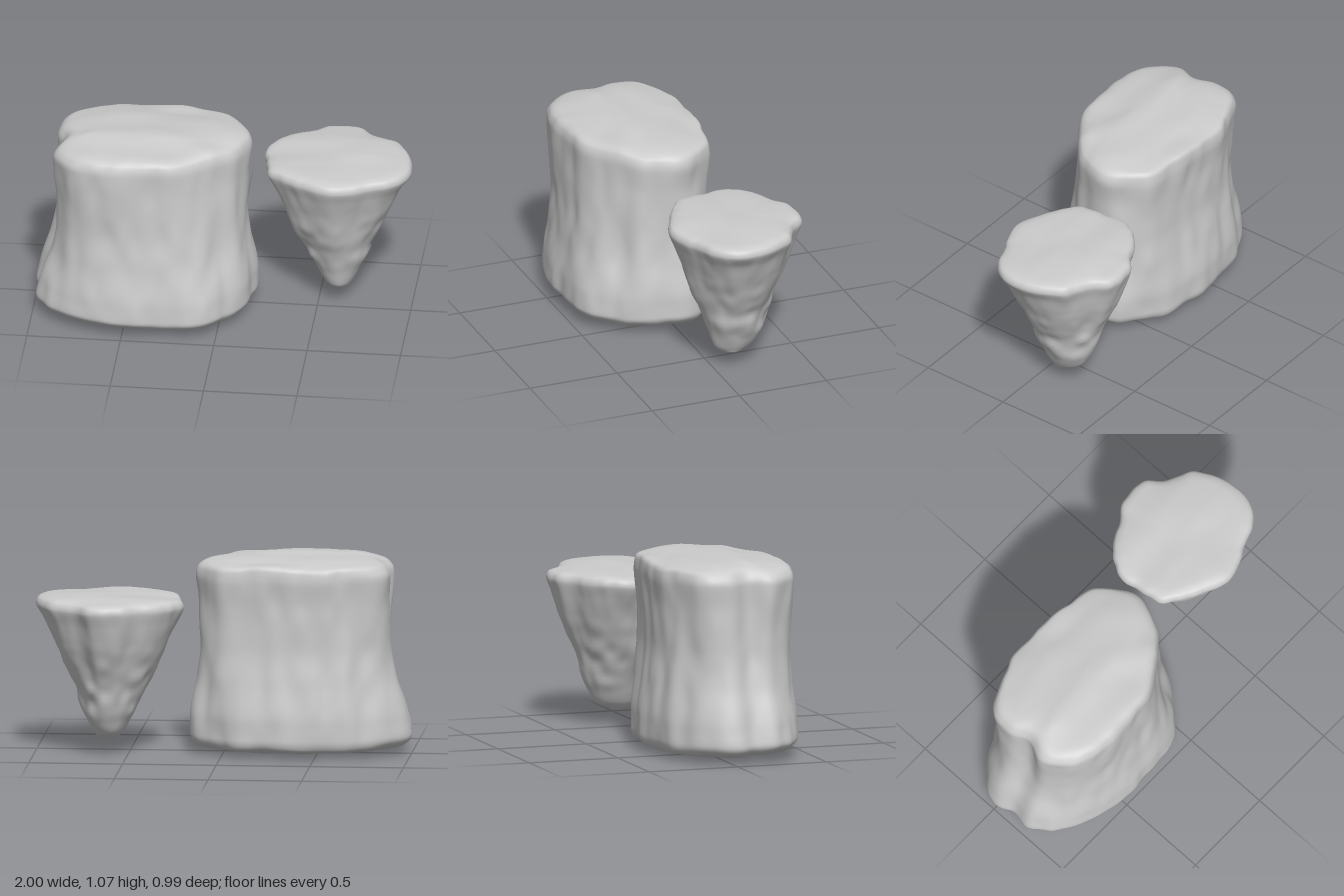
import * as THREE from 'three';

// Seeded smooth value noise in the range -1..1
const hash = (x, y, z) => {
  const s = Math.sin(x * 127.1 + y * 311.7 + z * 74.7) * 43758.5453;
  return (s - Math.floor(s)) * 2 - 1;
};
const ease = t => t * t * (3 - 2 * t);
const mix = THREE.MathUtils.lerp;
function noise(x, y, z) {
  const [i, j, k] = [x, y, z].map(Math.floor);
  const u = ease(x - i), v = ease(y - j), w = ease(z - k);
  const row = (b, c) => mix(hash(i, b, c), hash(i + 1, b, c), u);
  const layer = c => mix(row(j, c), row(j + 1, c), v);
  return mix(layer(k), layer(k + 1), w);
}

// Closed smooth outline, scaled to fill -1..1 in x and z
function unitOutline(points, count) {
  const curve = new THREE.CatmullRomCurve3(
    points.map(([x, z]) => new THREE.Vector3(x, 0, z)), true, 'centripetal');
  const ring = curve.getSpacedPoints(count).slice(0, count);
  const box = new THREE.Box3().setFromPoints(ring);
  const mid = box.getCenter(new THREE.Vector3());
  const half = box.getSize(new THREE.Vector3()).multiplyScalar(0.5);
  return ring.map(p => [(p.x - mid.x) / half.x, (p.z - mid.z) / half.z]);
}

// Smooth row interpolation that never overshoots between neighbours
function sampleRows(rows, t) {
  const last = rows.length - 1;
  const s = Math.min(t * last, last - 1e-6), i = Math.floor(s), f = s - i;
  const at = n => rows[THREE.MathUtils.clamp(n, 0, last)];
  const slope = (a, b) => (a * b <= 0 ? 0 : 2 * a * b / (a + b));
  return rows[0].map((_, n) => {
    const [p0, p1, p2, p3] = [-1, 0, 1, 2].map(o => at(i + o)[n]);
    const d = p2 - p1, m1 = slope(p1 - p0, d), m2 = slope(d, p3 - p2);
    return p1 + f * m1 + f * f * (3 * d - 2 * m1 - m2) + f * f * f * (m1 + m2 - 2 * d);
  });
}

// Loft of rings; each row is [y, xMin, xMax, zMin, zMax]
function rockGeometry({ rows, bottom, top, roughness, count = 160, steps = 104 }) {
  const low = unitOutline(bottom, count), high = unitOutline(top, count);
  const yMax = rows[rows.length - 1][0], pos = [], index = [];
  for (let j = 0; j <= steps; j++) {
    const [y, x0, x1, z0, z1] = sampleRows(rows, j / steps);
    const cx = (x0 + x1) / 2, cz = (z0 + z1) / 2, rx = (x1 - x0) / 2, rz = (z1 - z0) / 2;
    const blend = ease(y / yMax);
    for (let i = 0; i < count; i++) {
      const ux = mix(low[i][0], high[i][0], blend), uz = mix(low[i][1], high[i][1], blend);
      const x = cx + rx * ux, z = cz + rz * uz;
      const len = Math.hypot(ux, uz) || 1;
      const push = roughness(x, y, z) * Math.min(1, rx * 5);
      const lift = 0.01 * noise(x * 4, y * 2 + 7, z * 7) * Math.min(1, Math.abs(y - 0.35) * 2);
      pos.push(x + push * ux / len, Math.max(0, y + lift), z + push * uz / len);
      if (j < steps) {
        const a = j * count + i, b = j * count + (i + 1) % count;
        index.push(a, a + count, b, b, a + count, b + count);
      }
    }
  }
  const g = new THREE.BufferGeometry();
  g.setAttribute('position', new THREE.Float32BufferAttribute(pos, 3));
  g.setIndex(index);
  g.computeVertexNormals();
  return g;
}

export function createModel() {
  const group = new THREE.Group();
  const material = new THREE.MeshStandardMaterial({ color: 0xcccccc });
  const add = (name, spec) => {
    const mesh = new THREE.Mesh(rockGeometry(spec), material);
    mesh.name = name;
    group.add(mesh);
  };
  // Soft hollow in a rock's side, centred on a point
  const hollow = (x, y, z, cx, cy, cz) =>
    Math.exp(-(((x - cx) / 0.07) ** 2) - ((y - cy) / 0.18) ** 2 - ((z - cz) / 0.09) ** 2);

  // Broad oval stump with a flared foot and vertical furrows
  add('stumpRock', {
    rows: [
      [0.005, -0.25, -0.25, 0.03, 0.03], [0.012, -0.6, 0.0, -0.12, 0.26],
      [0.03, -0.87, 0.1, -0.25, 0.42], [0.05, -0.96, 0.15, -0.3, 0.46],
      [0.1, -1.0, 0.18, -0.315, 0.495], [0.2, -0.98, 0.18, -0.315, 0.49],
      [0.4, -0.92, 0.155, -0.29, 0.46], [0.6, -0.885, 0.14, -0.27, 0.445],
      [0.8, -0.88, 0.14, -0.27, 0.45], [0.95, -0.885, 0.153, -0.28, 0.455],
      [1.0, -0.865, 0.143, -0.277, 0.445], [1.025, -0.835, 0.12, -0.265, 0.42],
      [1.043, -0.77, 0.07, -0.18, 0.35], [1.055, -0.67, 0.0, -0.1, 0.24],
      [1.063, -0.37, -0.37, 0.08, 0.08],
    ],
    bottom: [[0.18, 0], [0.14, 0.22], [0.02, 0.38], [-0.15, 0.47], [-0.45, 0.49], [-0.65, 0.46],
      [-0.85, 0.37], [-0.975, 0.24], [-0.98, 0.11], [-1, 0.03], [-0.95, -0.12], [-0.72, -0.27],
      [-0.35, -0.32], [-0.05, -0.27], [0.1, -0.17], [0.175, -0.08]],
    top: [[0.165, -0.02], [0.14, 0.08], [0.04, 0.23], [-0.12, 0.345], [-0.24, 0.395], [-0.42, 0.43],
      [-0.6, 0.41], [-0.8, 0.35], [-0.88, 0.22], [-0.85, 0.1], [-0.88, 0], [-0.855, -0.14],
      [-0.73, -0.23], [-0.5, -0.28], [-0.2, -0.275], [0, -0.24], [0.13, -0.13]],
    roughness: (x, y, z) => 0.015 * noise(x * 9, y * 2.2, z * 9) + 0.006 * noise(x * 14, y * 7, z * 14)
      - 0.005 - 0.025 * hollow(x, y, z, 0.03, 0.47, 0.28) - 0.02 * hollow(x, y, z, 0.12, 0.42, -0.15),
  });

  // Tapering spike with a flat scalloped top and knobbly tip
  const rim = [[0.99, -0.12], [0.97, 0.03], [0.89, 0.11], [0.78, 0.155], [0.68, 0.2], [0.58, 0.228],
    [0.435, 0.172], [0.31, 0.105], [0.24, 0.05], [0.215, -0.08], [0.2, -0.2], [0.25, -0.315],
    [0.35, -0.395], [0.43, -0.425], [0.51, -0.49], [0.6, -0.5], [0.68, -0.495], [0.75, -0.415],
    [0.89, -0.34], [0.955, -0.25]];
  const tip = rim.map((_, i) => {
    const a = i / rim.length * Math.PI * 2;
    return [Math.cos(a), Math.sin(a)];
  });
  add('spikeRock', {
    rows: [
      [0.08, 0.61, 0.61, -0.11, -0.11], [0.085, 0.56, 0.66, -0.16, -0.06],
      [0.11, 0.53, 0.68, -0.22, -0.02], [0.2, 0.48, 0.73, -0.28, 0.015],
      [0.4, 0.375, 0.81, -0.35, 0.09], [0.6, 0.29, 0.9, -0.435, 0.16],
      [0.72, 0.235, 0.955, -0.475, 0.205], [0.8, 0.2, 1.0, -0.5, 0.235],
      [0.83, 0.21, 0.99, -0.49, 0.225], [0.847, 0.25, 0.95, -0.455, 0.185],
      [0.858, 0.42, 0.77, -0.3, 0.03], [0.862, 0.6, 0.6, -0.13, -0.13],
    ],
    bottom: tip,
    top: rim,
    roughness: (x, y, z) => {
      const knobs = 0.016 * Math.max(0, 1 - Math.abs(y - 0.32) / 0.32);
      return knobs * noise(x * 13, y * 14, z * 13) + 0.006 * noise(x * 18, y * 4, z * 18) - 0.004;
    },
  });
  return group;
}
